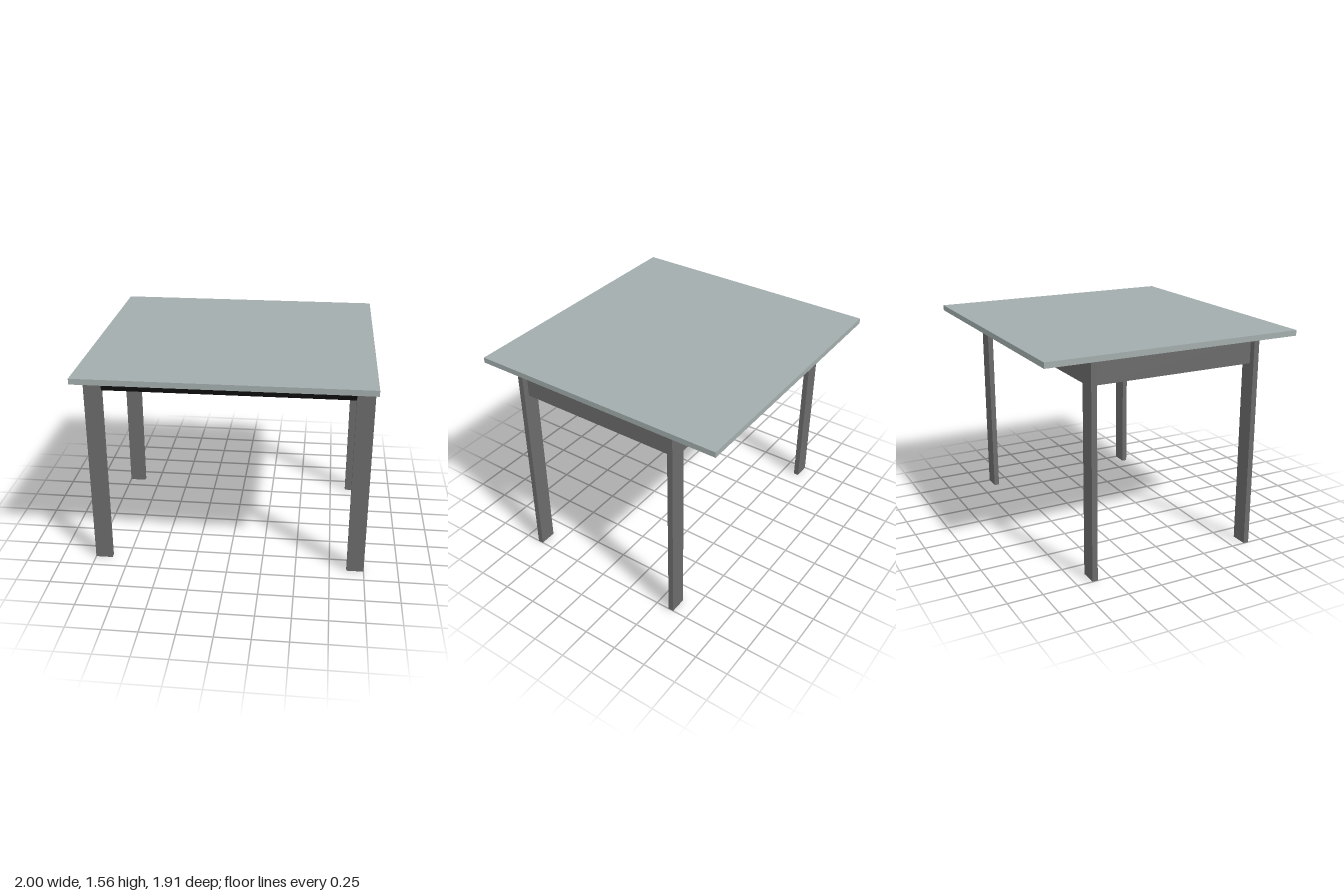
import * as THREE from 'three';

export function createModel() {
  const table = new THREE.Group();
  table.name = 'table';
  const topMat = new THREE.MeshStandardMaterial({ color: 0xa3adad });
  const frameMat = new THREE.MeshStandardMaterial({ color: 0x6b6b6b });
  const blackMat = new THREE.MeshStandardMaterial({ color: 0x0d0d0d });

  // Box given by its size and the centre of its underside
  const addBox = (name, mat, [w, h, d], [x, y, z]) => {
    const mesh = new THREE.Mesh(new THREE.BoxGeometry(w, h, d), mat);
    mesh.name = name;
    mesh.position.set(x, y + h / 2, z);
    table.add(mesh);
  };

  const topBase = 1.52, apronHeight = 0.165, apronBase = topBase - apronHeight;
  const legWidth = 0.125, legDepth = 0.04;
  const legX = 1 - legWidth / 2, legZ = 0.62;

  // Thin overhanging slab
  addBox('tabletop', topMat, [2, 0.04, 1.91], [0, topBase, 0]);

  for (const [side, sx] of [['left', 1], ['right', -1]]) {
    // Flat plank legs
    for (const [end, sz] of [['Front', 1], ['Back', -1]])
      addBox(`${side}${end}Leg`, frameMat, [legWidth, topBase, legDepth], [sx * legX, 0, sz * legZ]);
    // Side rail centred on the legs' width
    addBox(`${side}Apron`, frameMat, [0.04, apronHeight, 2 * legZ - legDepth], [sx * legX, apronBase, 0]);
  }

  // Long rails between the legs; the front one is black
  const railSize = [2 * legX - legWidth, apronHeight, 0.03];
  addBox('frontApron', blackMat, railSize, [0, apronBase, legZ]);
  addBox('backApron', frameMat, railSize, [0, apronBase, -legZ]);

  return table;
}
